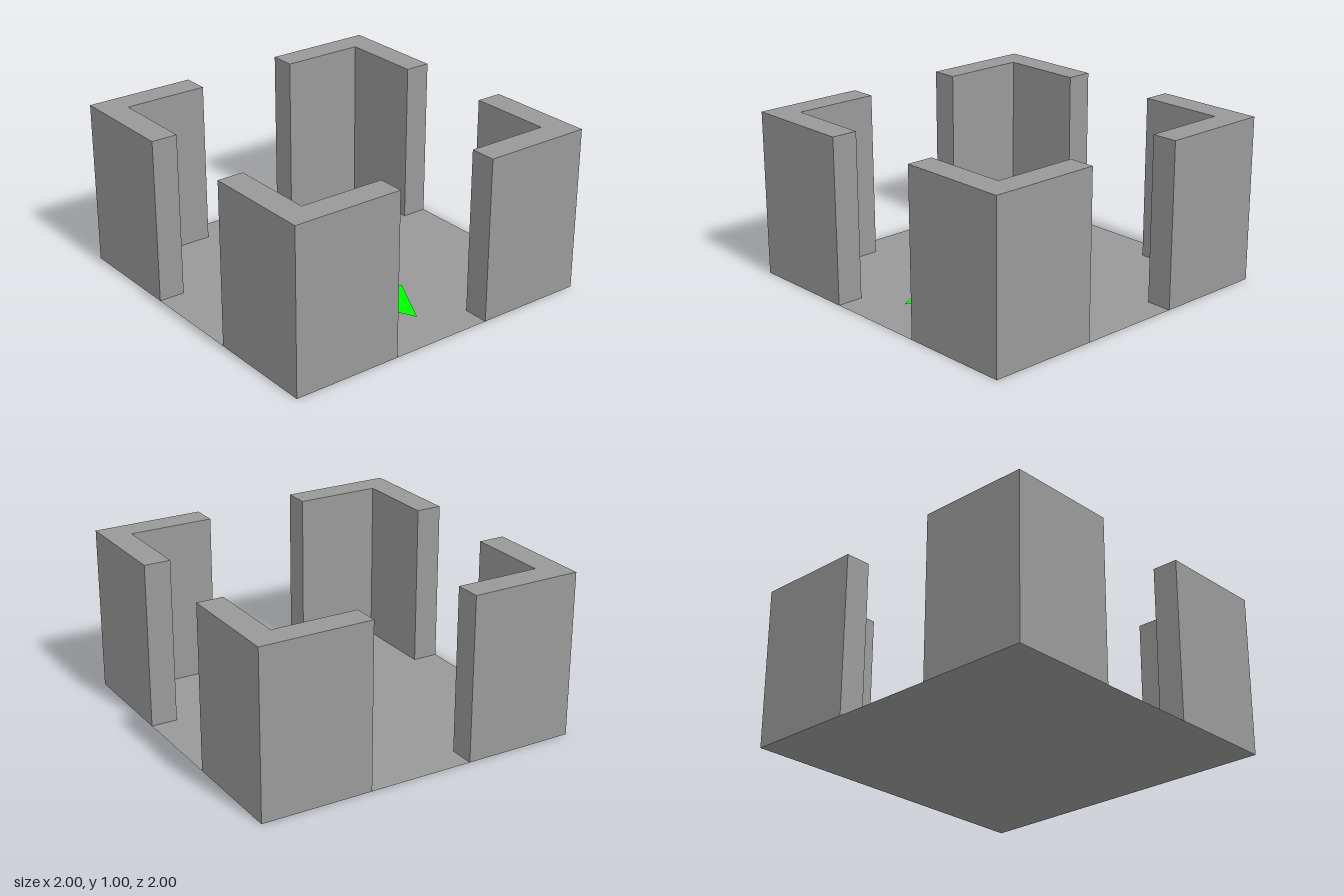
import * as THREE from 'three';

const HALF = 1, HEIGHT = 1, INNER = 0.84, GAP = 0.322;

// Flat shape from [x, z] points
function outline(points) {
  return new THREE.Shape(points.map(([x, z]) => new THREE.Vector2(x, -z)));
}

export function createModel() {
  const group = new THREE.Group();
  const grey = new THREE.MeshStandardMaterial({ color: 0x999999, flatShading: true });
  const flatGrey = new THREE.MeshStandardMaterial({ color: 0x999999, side: THREE.DoubleSide });
  const green = new THREE.MeshStandardMaterial({ color: 0x00ff00, side: THREE.DoubleSide });

  // Thin square floor
  const floor = new THREE.Mesh(new THREE.PlaneGeometry(2 * HALF, 2 * HALF).rotateX(-Math.PI / 2), flatGrey);
  floor.name = 'floor';
  group.add(floor);

  // L-shaped wall, repeated at each corner to leave four doorways
  const wallGeometry = new THREE.ExtrudeGeometry(
    outline([[HALF, HALF], [HALF, GAP], [INNER, GAP], [INNER, INNER], [GAP, INNER], [GAP, HALF]]),
    { depth: HEIGHT, bevelEnabled: false }
  ).rotateX(-Math.PI / 2);
  const corners = ['frontLeft', 'backLeft', 'backRight', 'frontRight'];
  corners.forEach((corner, i) => {
    const wall = new THREE.Mesh(wallGeometry, grey);
    wall.name = corner + 'CornerWall';
    wall.rotation.y = i * Math.PI / 2;
    group.add(wall);
  });

  // Arrow hovering just above the floor, pointing to the front doorway
  const arrow = new THREE.Mesh(
    new THREE.ShapeGeometry(outline([[-0.175, 0.44], [0, 0.785], [0.175, 0.44]])).rotateX(-Math.PI / 2),
    green
  );
  arrow.name = 'directionArrow';
  arrow.position.y = 0.045;
  group.add(arrow);

  return group;
}
